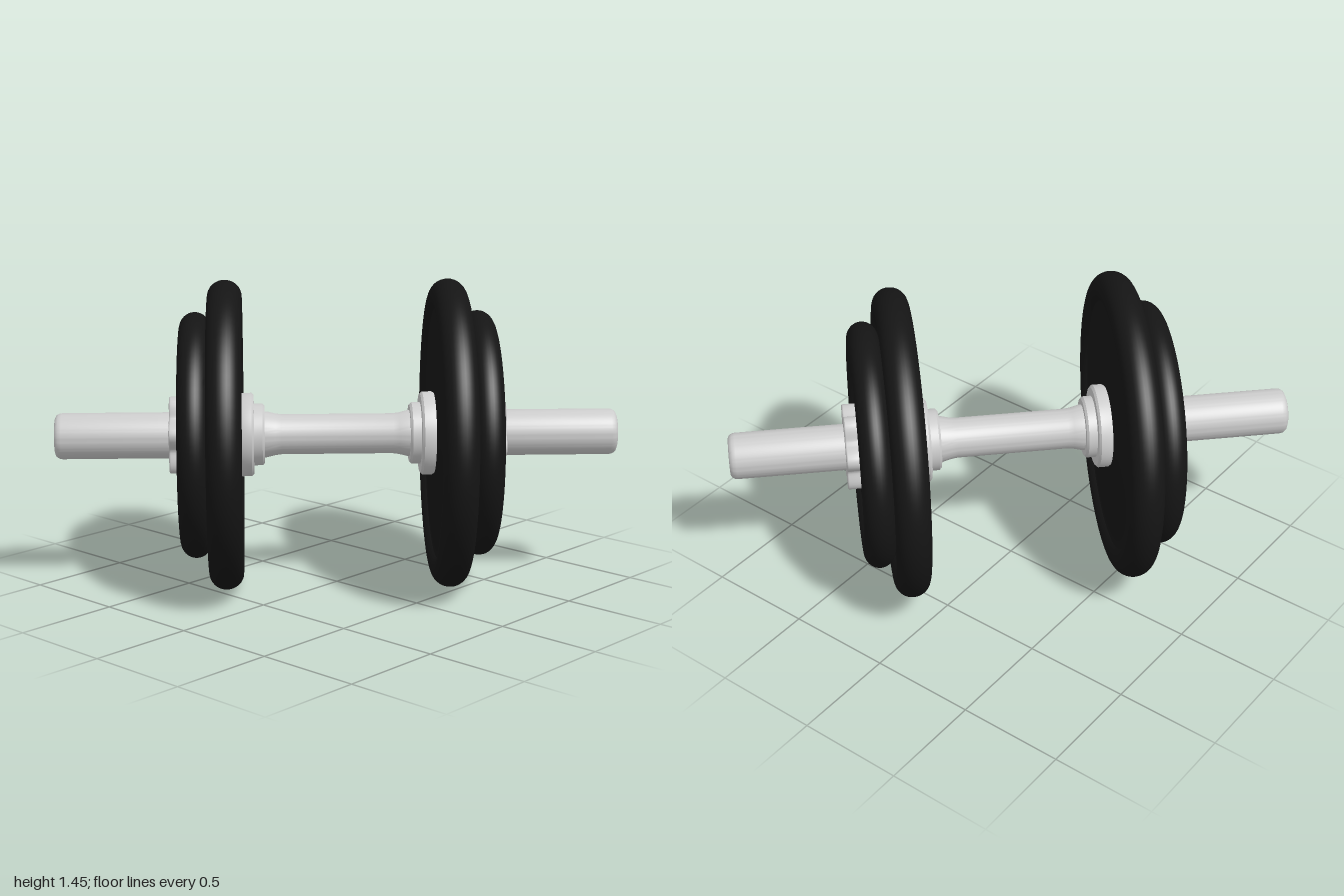
import * as THREE from 'three';
import { toCreasedNormals } from 'three/addons/utils/BufferGeometryUtils.js';

const steel = new THREE.MeshStandardMaterial({ color: 0xcccccc });
const rubber = new THREE.MeshStandardMaterial({ color: 0x151515 });

// Solid of revolution about z from [radius, z] pairs, z increasing on the outside
function turned(points, segments = 80) {
  const geo = new THREE.LatheGeometry(points.map(([r, z]) => new THREE.Vector2(r, z)), segments);
  geo.rotateX(Math.PI / 2);
  return toCreasedNormals(geo, 0.6);
}

function add(parent, name, geo, material, z = 0) {
  const mesh = new THREE.Mesh(geo, material);
  mesh.name = name;
  mesh.position.z = z;
  parent.add(mesh);
  return mesh;
}

// Weight plate: round rim, shallow recessed web and a slightly raised hub
function plateGeometry(R, half) {
  const web = half - 0.025;
  const side = [[0.09, web + 0.012], [0.23, web + 0.012], [0.25, web], [R - 0.135, web], [R - 0.115, half - 0.006], [R - 0.095, half]];
  const points = side.map(([r, z]) => [r, -z]);
  const bulge = 0.075;
  for (let i = 0; i <= 16; i++) {
    const a = -Math.PI / 2 + (Math.PI * i) / 16;
    points.push([R - bulge + bulge * Math.cos(a), half * Math.sin(a)]);
  }
  points.push(...side.reverse());
  return turned(points, 96);
}

// Six-lobed spin-lock nut
function starNutGeometry() {
  const outline = [];
  for (let i = 0; i < 96; i++) {
    const a = (i / 96) * Math.PI * 2;
    const r = 0.166 + 0.026 * Math.cos(6 * (a - 0.227));
    outline.push(new THREE.Vector2(r * Math.cos(a), r * Math.sin(a)));
  }
  const geo = new THREE.ExtrudeGeometry(new THREE.Shape(outline), {
    depth: 0.06, bevelEnabled: true, bevelThickness: 0.008, bevelSize: 0.008, bevelSegments: 3,
  });
  return toCreasedNormals(geo, 0.6);
}

export function createModel() {
  const model = new THREE.Group();
  model.name = 'dumbbell';

  const dumbbell = new THREE.Group();
  dumbbell.name = 'barAndWeights';
  dumbbell.position.y = 0.725;
  dumbbell.rotation.y = Math.PI / 4;
  model.add(dumbbell);

  // Bar with rounded ends and a slimmer grip
  const halfBar = [[0.094, 0.26], [0.098, 0.29], [0.108, 0.33], [0.108, 1.285], [0.105, 1.3], [0.097, 1.312], [0.085, 1.317], [0, 1.317]];
  const mirrored = halfBar.map(([r, z]) => [r, -z]).reverse();
  add(dumbbell, 'bar', turned([...mirrored, ...halfBar]), steel);

  // Both ends carry the same stack of collar, two plates and nut
  for (const end of ['front', 'back']) {
    const stack = new THREE.Group();
    stack.name = end + 'Weights';
    if (end === 'back') stack.rotation.y = Math.PI;
    dumbbell.add(stack);

    const collar = [[0.09, 0.34], [0.135, 0.34], [0.145, 0.35], [0.145, 0.39], [0.186, 0.39], [0.196, 0.4], [0.196, 0.445], [0.19, 0.455], [0.19, 0.48], [0.09, 0.48]];
    add(stack, end + 'Collar', turned(collar), steel);
    add(stack, end + 'LargePlate', plateGeometry(0.725, 0.08), rubber, 0.522);
    add(stack, end + 'SmallPlate', plateGeometry(0.576, 0.072), rubber, 0.662);
    add(stack, end + 'StarNut', starNutGeometry(), steel, 0.715);
    add(stack, end + 'Washer', turned([[0.09, 0.69], [0.15, 0.69], [0.15, 0.725], [0.09, 0.725]]), steel);
  }
  return model;
}
